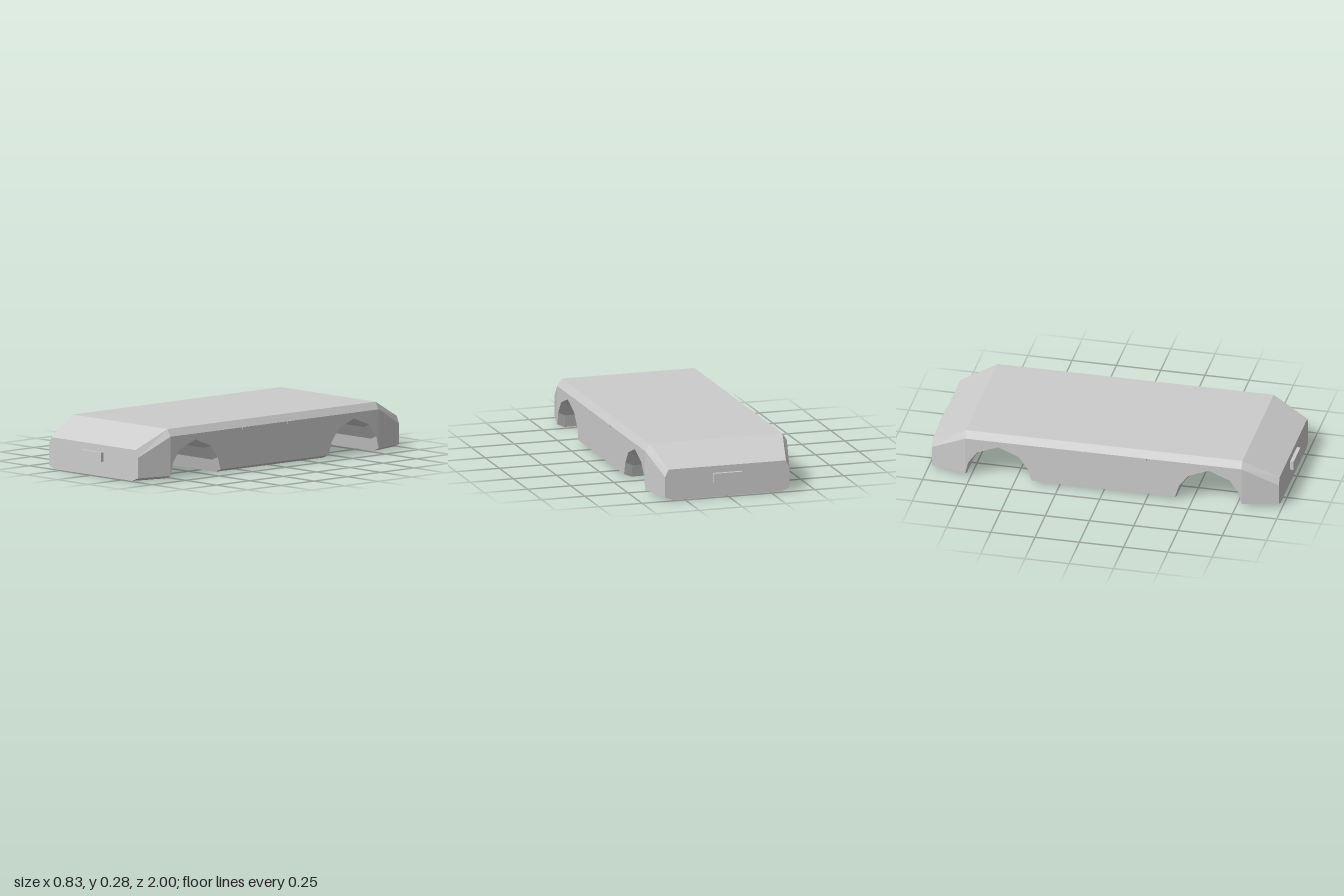
import * as THREE from 'three';

export function createModel() {
  const group = new THREE.Group();
  const grey = new THREE.MeshStandardMaterial({ color: 0xcccccc });
  grey.name = 'bodyGrey';

  // Stations of the front half: z, underside y, half width, shoulder y, roof half width, roof y
  const mid = [0.41, 0.236, 0.385, 0.276];
  const half = [
    [0.98, 0, 0.36, 0.132, 0.34, 0.174],
    [0.78, 0, ...mid],
    [0.763, 0.07, ...mid],
    [0.712, 0.14, ...mid],
    [0.595, 0.186, ...mid],
    [0.48, 0.14, ...mid],
    [0.427, 0.07, ...mid],
    [0.405, 0, ...mid],
  ];
  const stations = [...half, ...half.slice().reverse().map(([z, ...s]) => [-z, ...s])];

  // Octagonal cross-section, counter-clockwise seen from the front
  const rings = stations.map(([z, yb, w, ys, wt, yt]) => [
    [-w + 0.043, yb], [w - 0.043, yb], [w, yb + 0.018], [w, ys],
    [wt, yt], [-wt, yt], [-w, ys], [-w, yb + 0.018],
  ].map(([x, y]) => [x, y, z]));

  const positions = [];
  const tri = (a, b, c) => positions.push(...a, ...b, ...c);
  for (let k = 0; k < rings.length - 1; k++) {
    const f = rings[k], r = rings[k + 1];
    for (let j = 0; j < 8; j++) {
      const n = (j + 1) % 8;
      tri(f[j], r[j], r[n]);
      tri(f[j], r[n], f[n]);
    }
  }
  // Flat nose and tail
  const front = rings[0], back = rings[rings.length - 1];
  for (let j = 1; j < 7; j++) {
    tri(front[0], front[j], front[j + 1]);
    tri(back[0], back[j + 1], back[j]);
  }
  const shell = new THREE.BufferGeometry();
  shell.setAttribute('position', new THREE.Float32BufferAttribute(positions, 3));
  shell.computeVertexNormals();
  const body = new THREE.Mesh(shell, grey);
  body.name = 'body';
  group.add(body);

  const addBox = (name, size, pos) => {
    const mesh = new THREE.Mesh(new THREE.BoxGeometry(...size), grey);
    mesh.name = name;
    mesh.position.set(...pos);
    group.add(mesh);
  };

  // Number plates at both ends
  addBox('frontPlate', [0.167, 0.052, 0.03], [0, 0.109, 0.985]);
  addBox('rearPlate', [0.167, 0.052, 0.03], [0, 0.109, -0.985]);

  // Two door handles on each side
  for (const side of [1, -1]) {
    const label = side > 0 ? 'left' : 'right';
    addBox(label + 'FrontHandle', [0.015, 0.015, 0.065], [side * 0.4075, 0.23, 0.21]);
    addBox(label + 'RearHandle', [0.015, 0.015, 0.065], [side * 0.4075, 0.23, -0.13]);
  }
  return group;
}
